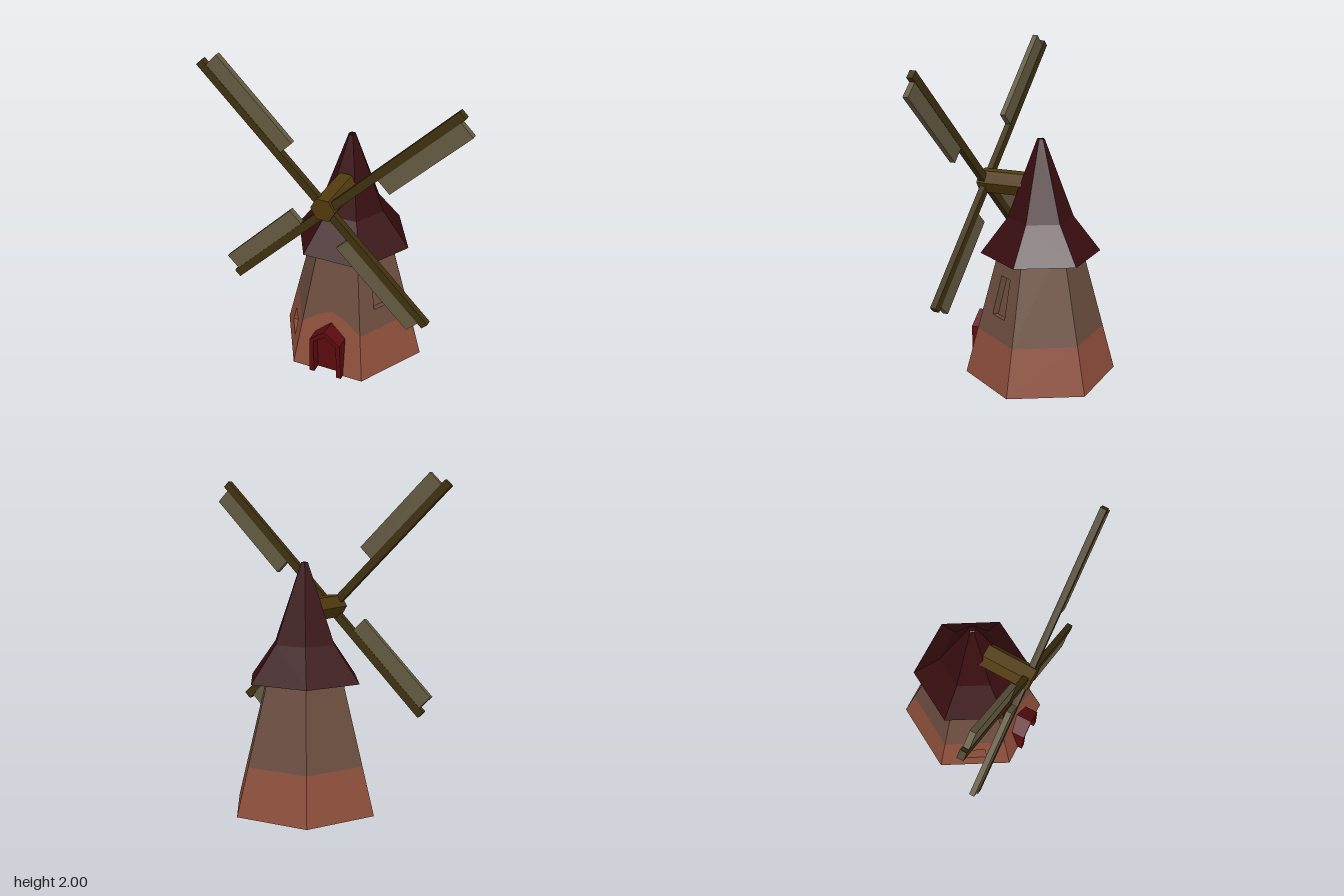
import * as THREE from 'three';

const mat = (name, color) => {
  const m = new THREE.MeshStandardMaterial({ color, flatShading: true, side: THREE.DoubleSide });
  m.name = name;
  return m;
};

export function createModel() {
  const brick = mat('brick', 0x8d4e3b);
  const plaster = mat('plaster', 0x6c4d3f);
  const roofRed = mat('roofRed', 0x380d10);
  const doorRed = mat('doorRed', 0x5c0c10);
  const hubWood = mat('hubWood', 0x523b0e);
  const sparWood = mat('sparWood', 0x3f3110);
  const sailCloth = mat('sailCloth', 0x645b42);

  const model = new THREE.Group();
  model.name = 'windmill';
  const body = new THREE.Group();
  body.name = 'body';
  body.position.set(-0.04, 0, -0.01);
  body.rotation.y = 0.022;
  model.add(body);

  const add = (parent, name, geometry, material) => {
    const m = new THREE.Mesh(geometry, material);
    m.name = name;
    parent.add(m);
    return m;
  };
  const shapeOf = pts => new THREE.Shape(pts.map(p => new THREE.Vector2(...p)));

  // Tapered hexagonal tower: place wall coordinates (u across, y up, d inwards) in space
  const radius = y => 0.465 - 0.264 * y;
  const half = y => radius(y) / 2;
  const onWall = (phi, u, y, d = 0) => {
    const r = radius(y) * Math.cos(Math.PI / 6) - d;
    return [
      Math.sin(phi) * r + Math.cos(phi) * u,
      y - d * 0.23,
      Math.cos(phi) * r - Math.sin(phi) * u,
    ];
  };
  const wall = (name, phi, pts, hole, material) => {
    const shape = shapeOf(pts);
    if (hole) shape.holes.push(new THREE.Path(hole.map(p => new THREE.Vector2(...p))));
    const g = new THREE.ShapeGeometry(shape);
    const pos = g.attributes.position;
    for (let i = 0; i < pos.count; i++) pos.setXYZ(i, ...onWall(phi, pos.getX(i), pos.getY(i)));
    g.computeVertexNormals();
    add(body, name, g, material);
  };

  // Window niche: four reveals and a back plate
  const niche = (name, phi, hole, depth, material) => {
    const outer = hole.map(([u, y]) => onWall(phi, u, y));
    const inner = hole.map(([u, y]) => onWall(phi, u, y, depth));
    const v = [];
    const quad = (a, b, c, d) => v.push(...a, ...b, ...c, ...a, ...c, ...d);
    for (let i = 0; i < 4; i++) {
      const j = (i + 1) % 4;
      quad(outer[i], outer[j], inner[j], inner[i]);
    }
    quad(...inner);
    const g = new THREE.BufferGeometry();
    g.setAttribute('position', new THREE.Float32BufferAttribute(v, 3));
    g.computeVertexNormals();
    add(body, name, g, material);
  };

  const band = 0.29, top = 0.9;
  const lowWindow = [[-0.08, 0.095], [0.08, 0.095], [0.065, 0.195], [-0.065, 0.195]];
  const highWindow = [[-0.066, 0.42], [0.066, 0.42], [0.046, 0.66], [-0.046, 0.66]];

  for (let i = 0; i < 6; i++) {
    const phi = i * Math.PI / 3;
    const front = i === 0;
    // Border between the two colours, arched over the door
    const arch = front ? [[0.085, 0.37], [0, 0.403], [-0.085, 0.37]] : [];
    const border = [[half(band), band], ...arch, [-half(band), band]];
    const doorway = front
      ? [[-0.09, 0], [-0.09, 0.24], [0, 0.305], [0.09, 0.24], [0.09, 0]] : [];
    wall('lowerWall', phi, [[-half(0), 0], ...doorway, [half(0), 0], ...border],
      i === 5 ? lowWindow : null, brick);
    wall('upperWall', phi, [...border.slice().reverse(), [half(top), top], [-half(top), top]],
      i === 1 ? highWindow : null, plaster);
  }
  niche('lowWindow', 5 * Math.PI / 3, lowWindow, 0.06, brick);
  niche('highWindow', Math.PI / 3, highWindow, 0.04, plaster);

  // Pointed door frame and recessed door
  const frame = add(body, 'doorFrame', new THREE.ExtrudeGeometry(shapeOf([
    [-0.107, 0], [-0.075, 0], [-0.075, 0.235], [0, 0.292], [0.075, 0.235], [0.075, 0],
    [0.107, 0], [0.1, 0.25], [0, 0.332], [-0.1, 0.25],
  ]), { depth: 0.11, bevelEnabled: false }), doorRed);
  frame.position.z = 0.322;
  const door = add(body, 'door', new THREE.ShapeGeometry(shapeOf([
    [-0.08, 0], [0.08, 0], [0.08, 0.237], [0, 0.297], [-0.08, 0.237],
  ])), doorRed);
  door.position.z = 0.375;

  // Flared roof, open at the tip
  const profile = [[0.365, 0.78], [0.2, 1.0], [0.022, 1.48]].map(p => new THREE.Vector2(...p));
  add(body, 'roof', new THREE.LatheGeometry(profile, 6, Math.PI / 2), roofRed);

  // Hexagonal hub
  const hub = add(model, 'hub',
    new THREE.CylinderGeometry(0.077, 0.077, 0.39, 6, 1, false, Math.PI / 2), hubWood);
  hub.rotation.x = Math.PI / 2 + 0.02;
  hub.position.set(-0.04, 1.188, 0.195);

  // Two crossing spars and four sails
  const sails = new THREE.Group();
  sails.name = 'sails';
  sails.position.z = 0.355;
  model.add(sails);
  const tips = [[-0.79, 1.94], [0.743, 1.937], [0.591, 0.554], [-0.645, 0.557]]
    .map(p => new THREE.Vector2(...p));
  for (let i = 0; i < 2; i++) {
    const a = tips[i], b = tips[i + 2];
    const d = b.clone().sub(a);
    const spar = add(sails, 'spar', new THREE.BoxGeometry(d.length(), 0.05, 0.038), sparWood);
    spar.position.set((a.x + b.x) / 2, (a.y + b.y) / 2, 0);
    spar.rotation.z = d.angle();
  }
  tips.forEach((tip, i) => {
    const inward = tips[(i + 2) % 4].clone().sub(tip).normalize();
    const side = new THREE.Vector2(-inward.y, inward.x);
    const c = tip.clone().addScaledVector(inward, 0.036 + 0.315).addScaledVector(side, 0.074);
    const sail = add(sails, 'sail', new THREE.BoxGeometry(0.63, 0.1, 0.034), sailCloth);
    sail.position.set(c.x, c.y, 0);
    sail.rotation.z = inward.angle();
  });

  return model;
}
